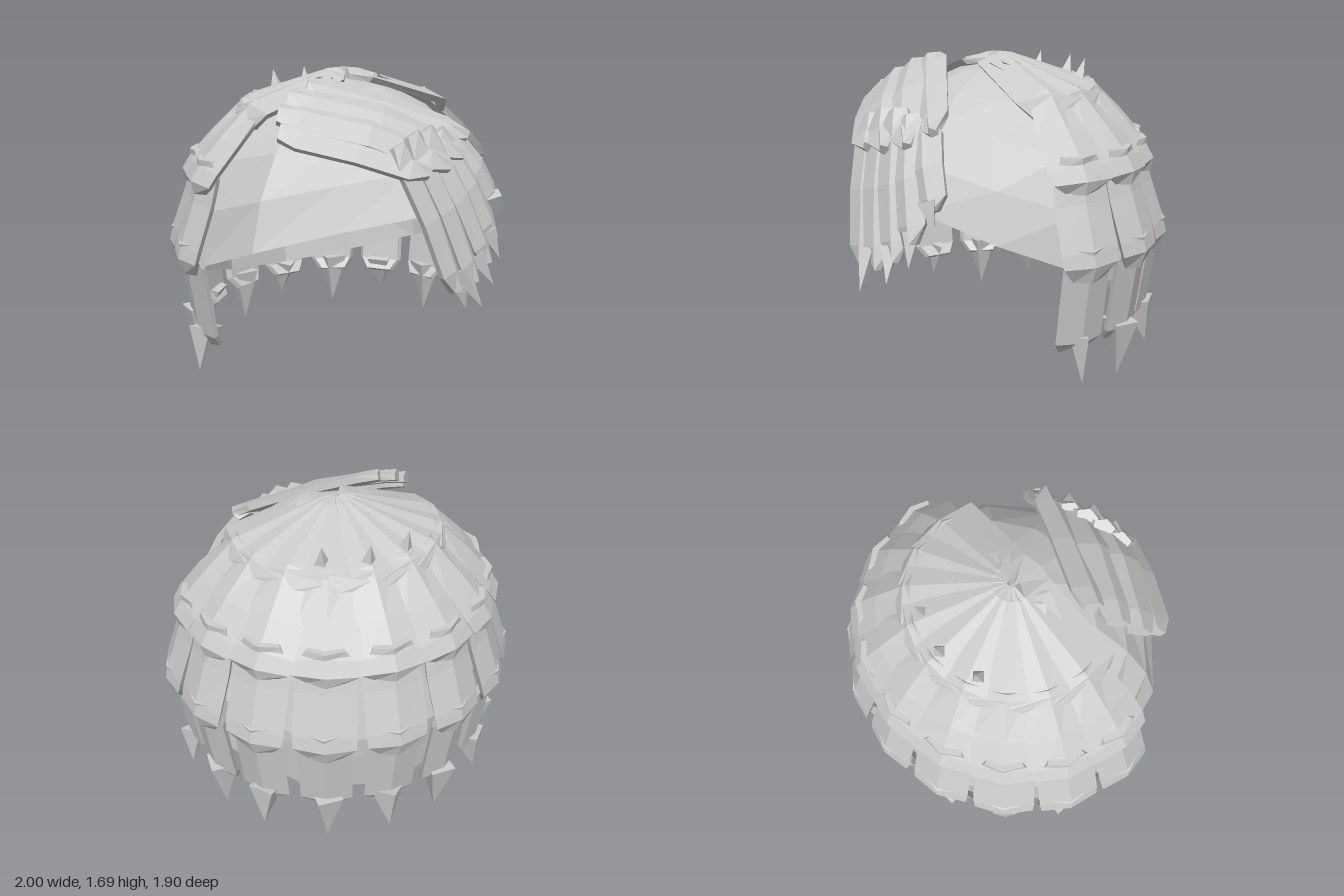
import * as THREE from 'three';

const V = (x, y, z) => new THREE.Vector3(x, y, z);

const hairMaterial = new THREE.MeshStandardMaterial({ color: 0xcccccc, side: THREE.DoubleSide, flatShading: true });
hairMaterial.name = 'paleGreyHair';

function addMesh(parent, name, geometry) {
  const mesh = new THREE.Mesh(geometry, hairMaterial);
  mesh.name = name;
  parent.add(mesh);
  return mesh;
}

function facetGeometry(triangles) {
  const geometry = new THREE.BufferGeometry().setFromPoints(triangles);
  geometry.computeVertexNormals();
  return geometry;
}

// Ridged lock: the path is its outer ridge, widths are half widths at each point
function lockGeometry(path, widths, outward, drop, thickness) {
  const rings = path.map((p, i) => {
    const t = path[Math.min(i + 1, path.length - 1)].clone().sub(path[Math.max(i - 1, 0)]).normalize();
    const n = outward.clone().addScaledVector(t, -outward.dot(t)).normalize();
    const s = n.clone().cross(t);
    const w = widths[i];
    return [[w, -drop], [0, 0], [-w, -drop], [-w * 0.85, -thickness], [w * 0.85, -thickness]]
      .map(([a, b]) => p.clone().addScaledVector(s, a).addScaledVector(n, b));
  });
  const tris = [];
  for (let i = 0; i < rings.length - 1; i++) {
    for (let j = 0; j < 5; j++) {
      const k = (j + 1) % 5, a = rings[i], b = rings[i + 1];
      tris.push(a[j], a[k], b[k], a[j], b[k], b[j]);
    }
  }
  const first = rings[0], last = rings[rings.length - 1];
  for (let j = 1; j < 4; j++) {
    tris.push(first[0], first[j + 1], first[j], last[0], last[j], last[j + 1]);
  }
  return facetGeometry(tris);
}

// Four-sided point between two positions
function addSpike(parent, name, base, tip, radius, flatten = 1) {
  const d = tip.clone().sub(base);
  const mesh = addMesh(parent, name, new THREE.ConeGeometry(radius, d.length(), 4));
  mesh.position.copy(base).add(tip).multiplyScalar(0.5);
  mesh.quaternion.setFromUnitVectors(V(0, 1, 0), d.normalize());
  mesh.scale.z = flatten;
}

// Faceted dome with a rim that slopes down toward the back
function capGeometry() {
  const columns = 12, rows = 5;
  const point = (c, r) => {
    const a = (c / columns) * Math.PI * 2;
    const rimY = 0.67 + 0.35 * Math.sin(a);
    const end = Math.acos((rimY - 0.65) / 0.98);
    const phi = (r / rows) * end;
    const radius = 0.885 * Math.sin(phi);
    return V(radius * Math.cos(a), 0.65 + 0.98 * Math.cos(phi), radius * Math.sin(a) * 0.95);
  };
  const tris = [];
  for (let c = 0; c < columns; c++) {
    for (let r = 0; r < rows; r++) {
      const a = point(c, r), b = point(c + 1, r), d = point(c, r + 1), e = point(c + 1, r + 1);
      if (r > 0) tris.push(a, b, e);
      tris.push(a, e, d);
    }
  }
  return facetGeometry(tris);
}

// Layers from crown to nape; each row is radius, height, half width
const LAYERS = [
  ['crownLock', [[0.02, 1.69, 0.04], [0.1, 1.68, 0.17], [0.57, 1.53, 0.2], [0.63, 1.44, 0.12]]],
  ['upperLock', [[0.54, 1.55, 0.10], [0.74, 1.36, 0.17], [0.86, 1.23, 0.18], [0.91, 1.15, 0.17], [0.895, 1.08, 0.09]]],
  ['middleLock', [[0.865, 1.26, 0.10], [0.86, 1.18, 0.15], [0.9, 1.04, 0.16], [0.98, 0.82, 0.165], [1.0, 0.74, 0.16], [0.97, 0.65, 0.09]]],
  ['lowerLock', [[0.99, 0.82, 0.09], [0.955, 0.7, 0.14], [0.9, 0.3, 0.14], [0.85, 0.22, 0.09]]],
];

function addBackHair(group) {
  for (let k = 0; k <= 8; k++) {
    const a = (k * Math.PI) / 8;
    const at = (r, y) => V(r * Math.cos(a), y, -r * Math.sin(a) * 0.95);
    const outward = V(Math.cos(a), 0.5, -Math.sin(a));
    for (const [name, rows] of LAYERS) {
      const path = rows.map(([r, y]) => at(r, y));
      addMesh(group, name, lockGeometry(path, rows.map((row) => row[2]), outward, 0.035, 0.065));
    }
    const odd = k % 2;
    const flatten = k % 8 ? 1 : 0.5;
    addSpike(group, 'lockTip', at(0.86, 0.33), at(odd ? 0.85 : 0.91, odd ? 0 : 0.08), 0.1, flatten);
  }
}

// Fringe locks: start, end, half width, bulge
const SWEEP = [
  [V(-0.6, 1.49, 0.45), V(0.05, 1.27, 0.81), 0.12, 0.03],
  [V(-0.57, 1.56, 0.37), V(0.2, 1.28, 0.78), 0.12, 0.06],
  [V(-0.48, 1.62, 0.3), V(0.33, 1.31, 0.71), 0.12, 0.06],
  [V(-0.35, 1.66, 0.26), V(0.42, 1.39, 0.61), 0.11, 0.02],
];
const FALL = [
  [V(-0.07, 1.4, 0.73), V(0.18, 0.64, 0.91), 0.1, 0.03],
  [V(0.03, 1.44, 0.7), V(0.31, 0.66, 0.88), 0.1, 0.03],
  [V(0.13, 1.45, 0.67), V(0.43, 0.73, 0.83), 0.1, 0.03],
  [V(0.22, 1.43, 0.64), V(0.51, 0.84, 0.77), 0.1, 0.03],
  [V(0.32, 1.39, 0.6), V(0.57, 1.01, 0.68), 0.1, 0.03],
];

function addFringe(group, name, locks, outward) {
  for (const [start, end, w, bulge] of locks) {
    const at = (t) => start.clone().lerp(end, t)
      .addScaledVector(outward, bulge * Math.sin(Math.PI * t));
    const path = [0, 0.12, 0.5, 0.86, 1].map(at);
    addMesh(group, name, lockGeometry(path, [w * 0.6, w, w, w * 0.9, w * 0.2], outward, 0.03, 0.065));
  }
}

// Fringe points: base, tip
const FRINGE_TIPS = [
  [V(0.2, 0.74, 0.86), V(0.28, 0.55, 0.95)],
  [V(0.34, 0.78, 0.8), V(0.42, 0.62, 0.86)],
  [V(0.45, 0.88, 0.74), V(0.52, 0.72, 0.78)],
  [V(0.53, 1.05, 0.68), V(0.59, 0.91, 0.67)],
];

export function createModel() {
  const model = new THREE.Group();
  model.name = 'layeredHair';
  addMesh(model, 'scalpCap', capGeometry());

  const back = new THREE.Group();
  back.name = 'backHair';
  addBackHair(back);

  // Small upright tufts on the crown
  for (const x of [-0.22, 0, 0.22]) {
    const z = x === 0 ? -0.46 : -0.4;
    addSpike(back, 'crownTuft', V(x, 1.53, z), V(x * 1.05, 1.65, z - 0.03), 0.045);
  }

  // Swept upper fringe over a hanging lower fringe
  const fringe = new THREE.Group();
  fringe.name = 'fringe';
  addFringe(fringe, 'sweptLock', SWEEP, V(0.1, 0.8, 0.6).normalize());
  addFringe(fringe, 'hangingLock', FALL, V(0.45, 0.25, 0.85).normalize());
  for (const [base, tip] of FRINGE_TIPS) addSpike(fringe, 'fringeTip', base, tip, 0.06);

  model.add(back, fringe);
  return model;
}
